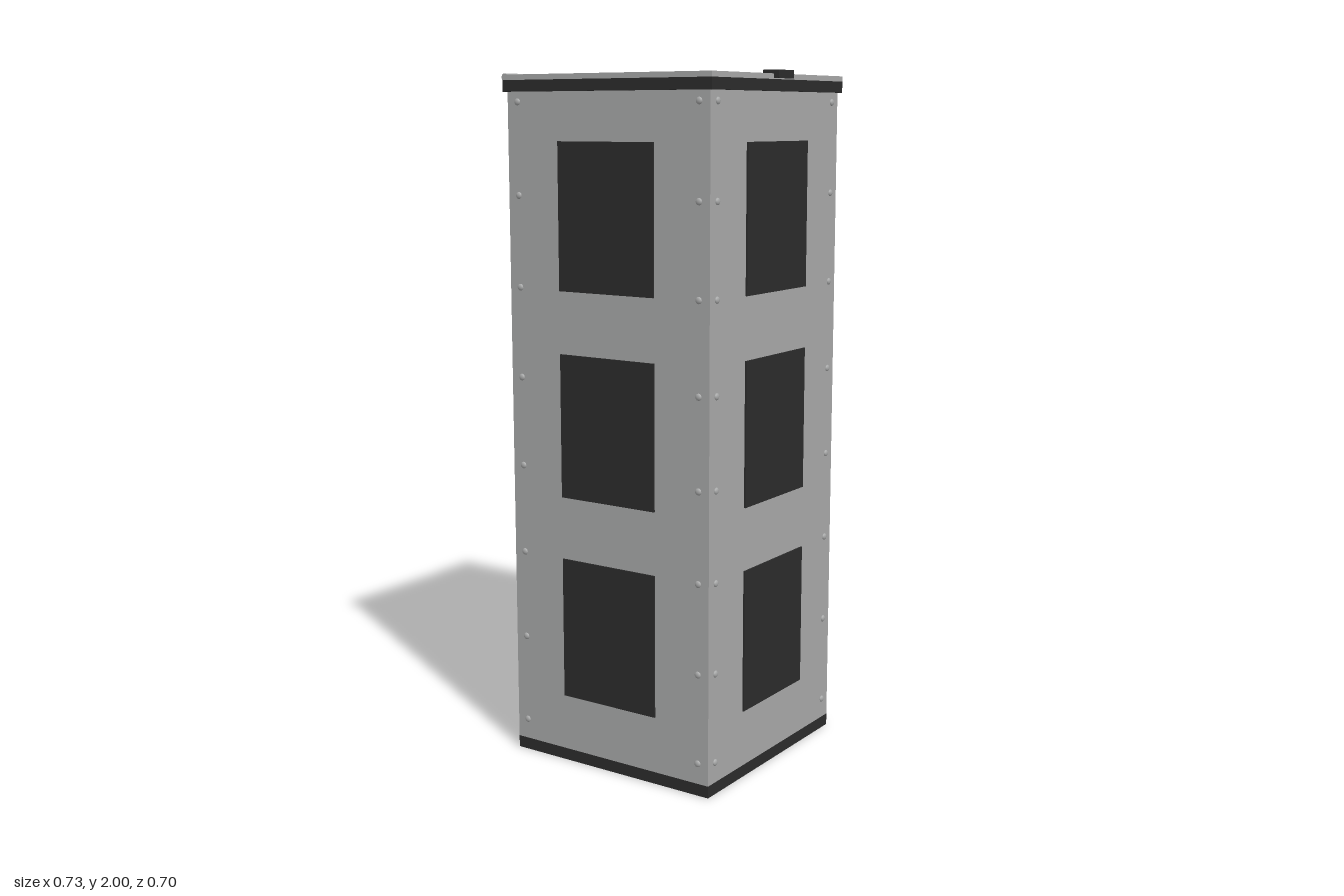
import * as THREE from 'three';

export function createModel() {
  const model = new THREE.Group();
  model.name = 'crateTower';
  const grey = new THREE.MeshStandardMaterial({ name: 'metalGrey', color: 0xa8a9a9 });
  const black = new THREE.MeshStandardMaterial({ name: 'rubberBlack', color: 0x2b2b2b });
  const CX = -0.003; // the latch side overhangs slightly less than the hinge side

  const add = (parent, name, geometry, material, x, y, z) => {
    const mesh = new THREE.Mesh(geometry, material);
    mesh.name = name;
    mesh.position.set(x, y, z);
    parent.add(mesh);
    return mesh;
  };
  // Box given by its bottom and top heights
  const slab = (name, w, d, y0, y1, material, x = CX) =>
    add(model, name, new THREE.BoxGeometry(w, y1 - y0, d), material, x, (y0 + y1) / 2, 0);

  // Stacked body and lid
  slab('base', 0.68, 0.68, 0, 0.035, black);
  slab('body', 0.68, 0.68, 0.035, 1.943, grey);
  slab('lidSeal', 0.7, 0.7, 1.943, 1.975, black);
  slab('lid', 0.7, 0.7, 1.975, 1.99, grey);
  slab('lidPad', 0.362, 0.362, 1.99, 1.995, black);
  slab('latch', 0.05, 0.08, 1.978, 2, black, 0.338);

  // Hinge rod along the lid's right edge
  const hinge = add(model, 'hinge', new THREE.CylinderGeometry(0.011, 0.011, 0.68, 16), grey, -0.353, 1.983, 0);
  hinge.rotation.x = Math.PI / 2;

  // Four identical sides: three panels and two columns of rivets each
  const panelGeometry = new THREE.BoxGeometry(0.322, 0.415, 0.005);
  const rivetGeometry = new THREE.SphereGeometry(0.01, 12, 5, 0, Math.PI * 2, 0, Math.PI / 2);
  rivetGeometry.rotateX(Math.PI / 2).scale(1, 1, 0.6);
  for (let side = 0; side < 4; side++) {
    const face = new THREE.Group();
    face.name = ['frontSide', 'leftSide', 'backSide', 'rightSide'][side];
    face.position.x = CX;
    face.rotation.y = side * Math.PI / 2;
    for (const y of [0.408, 1.006, 1.6]) add(face, 'panel', panelGeometry, black, 0, y, 0.3425);
    for (const x of [-0.305, 0.305]) {
      for (let i = 0; i < 8; i++) add(face, 'rivet', rivetGeometry, grey, x, 0.095 + i * 0.26, 0.34);
    }
    model.add(face);
  }
  return model;
}
